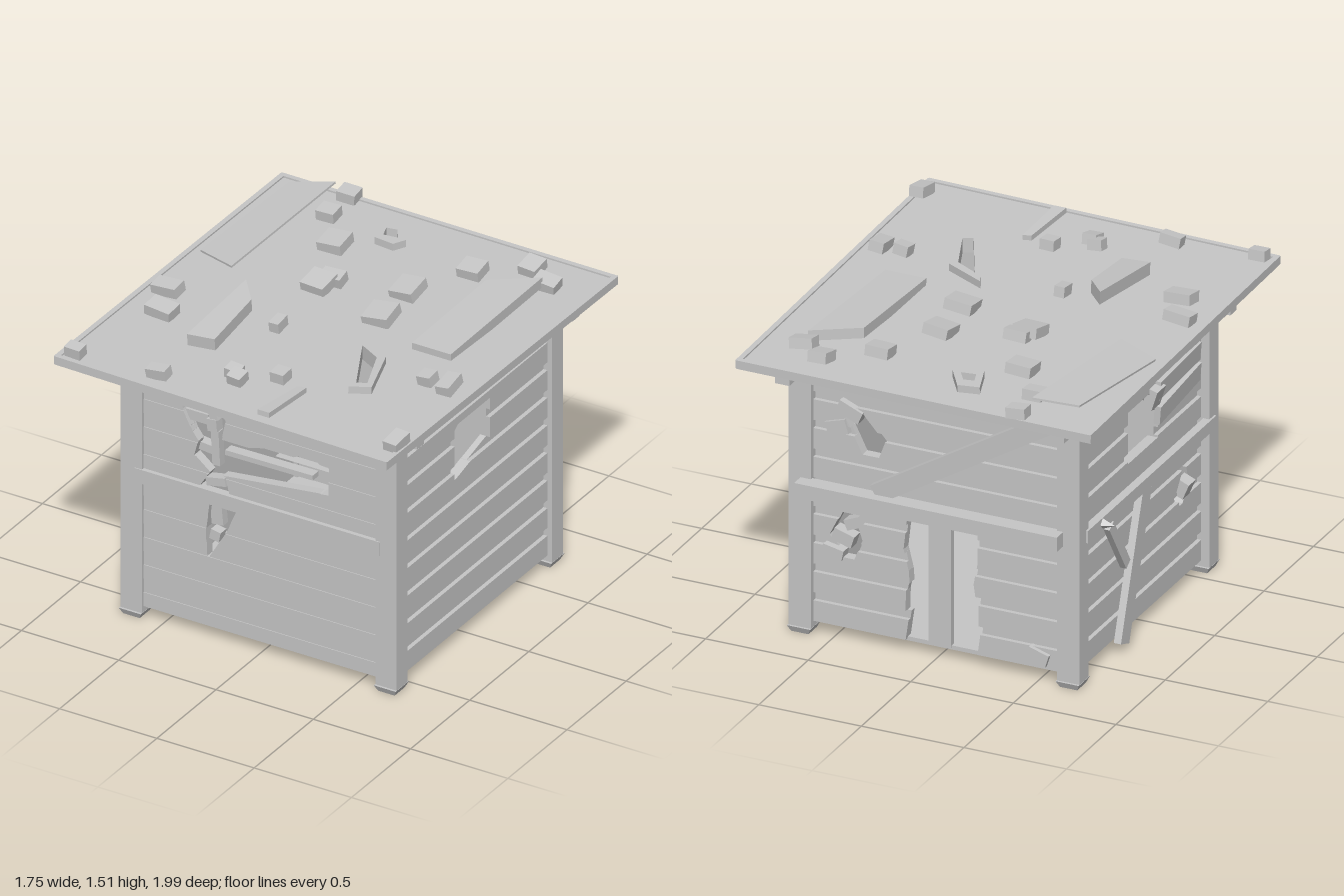
import * as THREE from 'three';

const wood = new THREE.MeshStandardMaterial({ color: 0xc6c6c6, flatShading: true, side: THREE.DoubleSide });
wood.name = 'weathered grey';

let seed = 7;
const rnd = () => (seed = (seed * 16807) % 2147483647) / 2147483647;

function add(parent, name, geo, pos = [0, 0, 0], rot = [0, 0, 0]) {
  const m = new THREE.Mesh(geo, wood);
  m.name = name;
  m.position.set(...pos);
  m.rotation.set(...rot);
  parent.add(m);
  return m;
}
const box = (p, name, size, pos, rot) => add(p, name, new THREE.BoxGeometry(...size), pos, rot);

function extrude(points, depth, holes = []) {
  const vec = pts => pts.map(p => new THREE.Vector2(...p));
  const s = new THREE.Shape(vec(points));
  holes.forEach(h => s.holes.push(new THREE.Path(vec(h))));
  return new THREE.ExtrudeGeometry(s, { depth, bevelEnabled: false });
}

// Board whose long side runs between two points; onSide lays it against a side wall
function plank(p, name, a, b, w, t, onSide) {
  const A = new THREE.Vector3(...a), B = new THREE.Vector3(...b);
  const len = A.distanceTo(B);
  const m = box(p, name, onSide ? [t, w, len] : [len, w, t], A.clone().add(B).multiplyScalar(0.5).toArray());
  m.quaternion.setFromUnitVectors(onSide ? new THREE.Vector3(0, 0, 1) : new THREE.Vector3(1, 0, 0), B.sub(A).normalize());
}

// Wall of horizontal boards facing +z; each hole is a list of [y, left, right]
function wall(p, name, u0, u1, holes, lapped) {
  const g = new THREE.Group();
  g.name = name;
  const rows = [];
  for (let y = 0.06, i = 0; y < 1.33; i++) {
    const h = lapped ? (i % 2 ? 0.04 : 0.1) : 0.07;
    rows.push([y, Math.min(y + h, 1.35), (i % 2) * (lapped ? 0.02 : 0.004)]);
    y += h;
  }
  const at = (h, y) => {
    for (let k = 0; k < h.length - 1; k++) {
      const [a, l, r] = h[k], [b, l2, r2] = h[k + 1];
      if (b > a && y >= a && y <= b) {
        const t = (y - a) / (b - a);
        return [l + (l2 - l) * t, r + (r2 - r) * t];
      }
    }
    return null;
  };
  for (const [y0, y1, inset] of rows) {
    const cuts = [y0, y1];
    holes.flat().forEach(q => { if (q[0] > y0 + 0.002 && q[0] < y1 - 0.002) cuts.push(q[0]); });
    const ys = [...new Set(cuts)].sort((a, b) => a - b);
    for (let k = 0; k < ys.length - 1; k++) {
      const a = ys[k], b = ys[k + 1], e = 0.0005;
      let left = [u0, u0];
      const gaps = holes.map(h => [at(h, a + e), at(h, b - e)]).filter(q => q[0] && q[1]).sort((m, n) => m[0][0] - n[0][0]);
      gaps.push([[u1, u1], [u1, u1]]);
      for (const [lo, hi] of gaps) {
        if (lo[0] > left[0] || hi[0] > left[1])
          add(g, 'wallBoard', extrude([[left[0], a], [lo[0], a], [hi[0], b], [left[1], b]], 0.05 - inset), [0, 0, -0.05]);
        left = [lo[1], hi[1]];
      }
    }
  }
  p.add(g);
  return g;
}

export function createModel() {
  const model = new THREE.Group();
  model.name = 'ruinedHut';

  // Corner posts with worn feet
  for (const x of [-0.655, 0.655]) for (const z of [0.595, -0.72]) {
    box(model, 'cornerPost', [0.11, 1.33, 0.09], [x, 0.695, z]);
    add(model, 'postFoot', new THREE.CylinderGeometry(0.08, 0.06, 0.03, 4), [x, 0.016, z], [0, Math.PI / 4, 0]);
  }
  box(model, 'floor', [1.3, 0.02, 1.32], [0, 0.06, -0.06]);

  // Four boarded walls with their broken openings
  wall(model, 'frontWall', -0.6, 0.6, [
    [[0.41, -0.275, -0.265], [0.55, -0.28, -0.18], [0.69, -0.26, -0.12], [0.695, -0.25, -0.2], [0.76, -0.31, -0.16],
      [0.84, -0.26, -0.18], [0.841, -0.26, -0.2], [0.905, -0.34, 0.35], [0.98, -0.32, 0.35], [1.02, -0.35, 0.35], [1.021, -0.35, -0.2],
      [1.12, -0.4, -0.18], [1.21, -0.42, -0.25], [1.3, -0.48, -0.25]],
    [[1.021, -0.06, 0.35], [1.045, 0.02, 0.35], [1.046, 0.17, 0.31], [1.08, 0.24, 0.25]],
  ], false).position.z = 0.625;
  const right = wall(model, 'rightWall', -0.55, 0.68,
    [[[0.83, -0.11, -0.1], [0.9, -0.11, 0.19], [1.08, -0.11, 0.19], [1.1, -0.08, 0.19]]], true);
  right.position.x = 0.685;
  right.rotation.y = Math.PI / 2;
  const left = wall(model, 'leftWall', -0.68, 0.55,
    [[[0.85, -0.19, 0.11], [0.98, -0.19, 0.11], [1.1, -0.19, 0.02]], [[0.42, 0.33, 0.36], [0.5, 0.3, 0.42], [0.58, 0.36, 0.4]]], true);
  left.position.x = -0.67;
  left.rotation.y = -Math.PI / 2;
  const back = wall(model, 'backWall', -0.6, 0.6, [
    [[0.06, -0.15, 0.2], [0.2, -0.13, 0.22], [0.201, -0.17, 0.19], [0.34, -0.14, 0.21], [0.341, -0.12, 0.17], [0.5, -0.16, 0.2], [0.68, -0.14, 0.2]],
    [[0.4, -0.46, -0.4], [0.5, -0.52, -0.36], [0.62, -0.46, -0.4]],
    [[0.92, -0.36, -0.28], [1.0, -0.4, -0.25], [1.12, -0.46, -0.36]],
  ], true);
  back.position.z = -0.74;
  back.rotation.y = Math.PI;

  // Mid-height rails and roof-bearing beams
  box(model, 'frontRail', [1.26, 0.07, 0.04], [-0.005, 0.725, 0.625]);
  box(model, 'backRail', [1.28, 0.07, 0.08], [0.01, 0.725, -0.79]);
  box(model, 'leftRail', [0.04, 0.06, 1.3], [-0.7, 0.725, -0.05]);
  add(model, 'railSplinter', new THREE.ConeGeometry(0.025, 0.06, 4), [-0.75, 0.727, -0.55], [0, 0, Math.PI / 2]);
  for (const s of [-1, 1]) {
    box(model, 'sideBeam', [0.07, 0.05, 1.68], [s * 0.67, 1.295, -0.07]);
    box(model, 'crossBeam', [1.61, 0.07, 0.06], [0, 1.31, s < 0 ? -0.72 : 0.595]);
  }

  // Fallen boards and door remains
  plank(model, 'backBrace', [0.28, 0.76, -0.765], [-0.57, 1.28, -0.775], 0.09, 0.035, false);
  plank(model, 'leftBrace', [-0.7, 0.04, -0.32], [-0.695, 0.7, -0.08], 0.09, 0.035, true);
  plank(model, 'shortBrace', [-0.69, 0.66, -0.43], [-0.69, 0.4, -0.26], 0.05, 0.03, true);
  box(model, 'doorBoard', [0.11, 0.64, 0.03], [-0.01, 0.38, -0.71]);
  for (let i = 0; i < 3; i++)
    box(model, 'looseBoard', [0.03, 0.09, 0.45], [-0.67, 0.98 + i * 0.11, 0.31], [0.05 * (i - 1), 0.04, 0.1]);

  // Splintered bits around the openings: x, y, z, width, height, depth, tilt
  [[-0.36, 1.26, 0.59, 0.22, 0.07, 0.03, 0], [-0.34, 1.09, 0.58, 0.12, 0.05, 0.05, 0], [-0.25, 1.08, 0.6, 0.05, 0.06, 0.05, 0.1],
    [-0.31, 0.94, 0.57, 0.09, 0.04, 0.05, -0.1], [-0.24, 0.96, 0.59, 0.04, 0.17, 0.04, 0.05], [0.02, 0.94, 0.56, 0.45, 0.025, 0.05, 0.01],
    [-0.23, 0.8, 0.6, 0.1, 0.04, 0.05, 0.2], [-0.24, 0.62, 0.58, 0.06, 0.1, 0.04, 0.1],
    [-0.24, 0.52, 0.59, 0.05, 0.05, 0.05, -0.2], [-0.26, 1.16, 0.6, 0.04, 0.12, 0.04, 0.35],
    [0.45, 0.5, -0.725, 0.1, 0.06, 0.06, 0.3], [0.4, 0.58, -0.725, 0.08, 0.05, 0.06, -0.4], [0.5, 0.42, -0.725, 0.1, 0.05, 0.06, 0.2],
    [0.42, 1.12, -0.725, 0.12, 0.06, 0.06, 0.4], [0.48, 1.03, -0.725, 0.1, 0.07, 0.06, -0.3],
    [-0.5, 0.12, -0.73, 0.1, 0.06, 0.06, 0.3], [-0.67, 0.5, 0.37, 0.06, 0.08, 0.07, 0.4], [-0.67, 1.07, 0.07, 0.05, 0.1, 0.09, 0.3],
  ].forEach(([x, y, z, w, h, d, r]) => box(model, 'splinter', [w, h, d], [x, y, z], [0, 0, r]));

  // Roof slab, rising slightly to the front, with two torn openings and rim strips
  const roof = new THREE.Group();
  roof.name = 'roof';
  roof.position.y = 1.388;
  roof.rotation.x = -0.016;
  model.add(roof);
  const outline = [[-0.86, -0.95], [0.87, -0.99], [0.86, 0.98], [-0.87, 0.99]];
  const backHole = [[-0.2, 0.77], [-0.15, 0.78], [-0.11, 0.72], [-0.18, 0.71]];
  const frontHole = [[0.26, -0.19], [0.37, -0.25], [0.455, -0.47], [0.41, -0.49]];
  add(roof, 'roofSlab', extrude(outline, 0.035, [backHole, frontHole]), [0, -0.035, 0], [-Math.PI / 2, 0, 0]);
  outline.forEach(([x, y], i) => {
    const [x2, y2] = outline[(i + 1) % 4];
    box(roof, 'rimStrip', [Math.hypot(x2 - x, y2 - y), 0.04, 0.025],
      [(x + x2) / 2 * 0.99, -0.012, -(y + y2) / 2 * 0.99], [0, Math.atan2(y2 - y, x2 - x), 0]);
  });

  // Blocks lying on the roof: x, z, width, depth
  [[-0.5, -0.95, 0.09, 0.08], [-0.49, -0.76, 0.09, 0.08], [-0.33, -0.55, 0.12, 0.12], [0.31, -0.66, 0.11, 0.1], [0.52, -0.82, 0.09, 0.1],
    [0.65, -0.73, 0.11, 0.08], [0.16, -0.36, 0.12, 0.13], [-0.2, -0.2, 0.12, 0.12], [-0.17, -0.27, 0.11, 0.07], [0.18, -0.1, 0.13, 0.13],
    [-0.74, 0.19, 0.13, 0.08], [-0.66, 0.37, 0.13, 0.09], [0.65, 0.28, 0.07, 0.07], [0.76, 0.28, 0.07, 0.12], [0.09, 0.6, 0.07, 0.07],
    [-0.1, 0.68, 0.07, 0.06], [-0.06, 0.72, 0.07, 0.07], [-0.38, 0.86, 0.1, 0.06], [0.83, 0.84, 0.07, 0.11], [-0.79, 0.89, 0.08, 0.06], [-0.16, 0.21, 0.05, 0.08],
  ].forEach(([x, z, w, d]) => box(roof, 'roofBlock', [w, 0.05, d], [x, 0.03, z], [0.1 + rnd() * 0.15, (rnd() - 0.5) * 0.15, (rnd() - 0.5) * 0.3]));

  // Large torn sheets, drawn as x, -z outlines and lifted at the back by tilt
  const sheet = (name, pts, depth, y, tilt, lean = 0, holes = []) => {
    const cx = pts.reduce((s, p) => s + p[0], 0) / pts.length;
    const cz = pts.reduce((s, p) => s + p[1], 0) / pts.length;
    const move = q => q.map(([x, v]) => [x - cx, v - cz]);
    add(roof, name, extrude(move(pts), depth, holes.map(move)), [cx, y, -cz], [-Math.PI / 2 + tilt, lean, 0]);
  };
  sheet('leftSheet', [[-0.81, 0.2], [-0.6, 0.12], [-0.55, 0.92], [-0.75, 0.85]], 0.01, 0.04, 0.07, -0.12);
  sheet('rightSheet', [[0.43, -0.05], [0.63, -0.05], [0.645, 0.7], [0.44, 0.56]], 0.05, 0.0, 0.05);
  sheet('wedgeSheet', [[-0.42, -0.55], [-0.29, -0.53], [-0.3, -0.2], [-0.4, -0.08]], 0.06, 0.03, 0.13);
  sheet('narrowSheet', [[0.17, -0.93], [0.23, -0.93], [0.24, -0.63], [0.2, -0.64]], 0.025, 0.005, -0.04);
  sheet('backFrame', [[-0.25, 0.82], [-0.15, 0.84], [-0.07, 0.72], [-0.1, 0.66], [-0.2, 0.67]], 0.035, 0, 0, 0, [backHole]);
  sheet('frontFrame', [[0.2, -0.12], [0.4, -0.22], [0.49, -0.49], [0.4, -0.54]], 0.035, 0, 0, 0, [frontHole]);
  return model;
}
